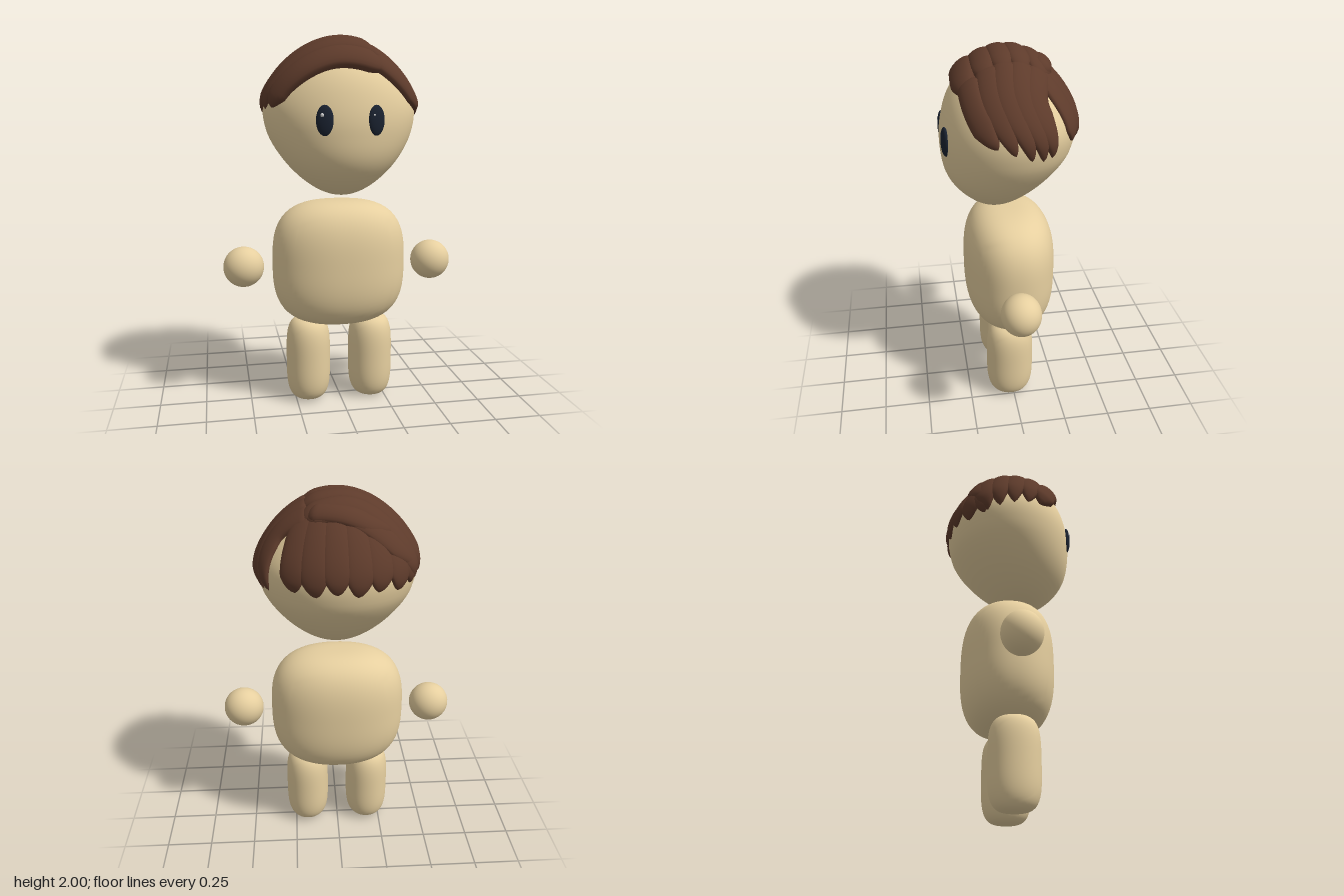
import * as THREE from 'three';
import { mergeVertices } from 'three/addons/utils/BufferGeometryUtils.js';

const V = (x, y, z) => new THREE.Vector3(x, y, z);
const skin = new THREE.MeshStandardMaterial({ color: 0xe6cf9f });
const brown = new THREE.MeshStandardMaterial({ color: 0x5e3b2b });
const navy = new THREE.MeshStandardMaterial({ color: 0x1a2230 });
const white = new THREE.MeshStandardMaterial({ color: 0xffffff });

// Head shape: half width, half depth and forward shift, from chin to crown
const headProfile = new THREE.CatmullRomCurve3([
  V(0.305, 0.265, 0.08), V(0.352, 0.32, 0.055), V(0.392, 0.342, 0.016),
  V(0.412, 0.347, 0.002), V(0.39, 0.338, 0.012), V(0.36, 0.315, 0.012),
]);
function headPoint(d) {
  const s = headProfile.getPoint(THREE.MathUtils.clamp((d.y + 1) / 2, 0, 1));
  return V(s.x * d.x, 1.56 + 0.4 * d.y, s.z + s.y * d.z);
}
// Direction from the head centre towards a place on the scalp
const dir = (x, y, z) => V(x / 0.4, (y - 1.56) / 0.4, z / 0.33).normalize();
const top = (x, z) => {
  const a = x / 0.4, b = z / 0.33;
  return V(a, Math.sqrt(Math.max(0.02, 1 - a * a - b * b)), b).normalize();
};

// Moves every vertex by a rule and smooths the result
function reshape(geometry, rule) {
  geometry.deleteAttribute('uv');
  geometry.deleteAttribute('normal');
  const g = mergeVertices(geometry, 1e-5);
  const p = g.attributes.position, v = V(0, 0, 0);
  for (let i = 0; i < p.count; i++) {
    const q = rule(v.fromBufferAttribute(p, i));
    p.setXYZ(i, q.x, q.y, q.z);
  }
  g.computeVertexNormals();
  return g;
}

// Rounded block: n squares the upright outline, m the level cross-section
function softBlock(hx, hy, hz, n, m) {
  return reshape(new THREE.BoxGeometry(2, 2, 2, 20, 20, 20), (v) => {
    v.set(Math.tan(v.x * Math.PI / 4), Math.tan(v.y * Math.PI / 4), Math.tan(v.z * Math.PI / 4));
    const level = (Math.abs(v.x) ** m + Math.abs(v.z) ** m) ** (1 / m);
    const r = (level ** n + Math.abs(v.y) ** n) ** (1 / n);
    return v.divideScalar(r).multiply(V(hx, hy, hz));
  });
}

// Lock of hair: a rounded ribbon that follows the scalp and tapers to its tip
function lock(dirs, width, thick, taper = 0.3) {
  const path = new THREE.CatmullRomCurve3(dirs);
  const rows = 36, sides = 20, pos = [], idx = [];
  for (let i = 0; i <= rows; i++) {
    const u = i / rows;
    const d = path.getPoint(u).normalize();
    const b = d.clone().cross(path.getTangent(u)).normalize();
    const start = Math.sqrt(Math.min(1, u / 0.1));
    const end = Math.min(1, (1 - u) / taper) ** 0.65;
    const w = Math.max(0.01, start * end) * width / 0.38;
    const t = Math.max(0.02, start * Math.min(1, (1 - u) / 0.12) ** 0.5) * thick * (1 - 0.3 * u);
    for (let j = 0; j < sides; j++) {
      const a = j / sides * Math.PI * 2, s = Math.sin(a);
      const e = d.clone().addScaledVector(b, w * Math.cos(a)).normalize();
      const lift = s > 0 ? s ** 0.6 : 0.4 * s;
      const q = headPoint(e).addScaledVector(e, t * lift);
      pos.push(q.x, q.y, q.z);
      if (i < rows) {
        const k = (j + 1) % sides, r = i * sides, r2 = r + sides;
        idx.push(r + j, r + k, r2 + j, r + k, r2 + k, r2 + j);
      }
    }
  }
  const g = new THREE.BufferGeometry();
  g.setAttribute('position', new THREE.Float32BufferAttribute(pos, 3));
  g.setIndex(idx);
  g.computeVertexNormals();
  return g;
}

export function createModel() {
  const model = new THREE.Group();
  const add = (name, geometry, material, x = 0, y = 0, z = 0, parent = model) => {
    const m = new THREE.Mesh(geometry, material);
    m.name = name;
    m.position.set(x, y, z);
    parent.add(m);
    return m;
  };

  // Body
  add('torso', softBlock(0.368, 0.347, 0.248, 3, 2.2), skin, 0, 0.778, -0.002);
  for (const [side, s] of [['left', 1], ['right', -1]]) {
    add(side + 'Leg', softBlock(0.122, 0.235, 0.132, 3.8, 2.05), skin, s * 0.177, 0.235, 0.016);
    add(side + 'Hand', new THREE.SphereGeometry(1, 40, 28), skin, s * 0.527, 0.768, 0.012)
      .scale.set(0.11, 0.11, 0.104);
  }

  // Head
  add('head', reshape(new THREE.SphereGeometry(1, 64, 48), headPoint), skin);

  // Eyes with a small glint
  for (const [side, s] of [['left', 1], ['right', -1]]) {
    const eye = add(side + 'Eye', new THREE.SphereGeometry(1, 32, 24), navy, s * 0.13, 1.56, 0.331);
    eye.scale.set(0.044, 0.076, 0.019);
    eye.rotation.y = s * 0.24;
    add(side + 'Glint', new THREE.SphereGeometry(0.01, 16, 12), white, s * 0.13 - 0.014, 1.586, 0.342);
  }

  // Hair: a scalp cap covered by locks
  const hair = new THREE.Group();
  hair.name = 'hair';
  model.add(hair);
  const cap = new THREE.SphereGeometry(1, 48, 16, 0, Math.PI * 2, 0, 0.68);
  cap.rotateX(-0.1);
  add('hairCap', reshape(cap, (d) => headPoint(d).addScaledVector(d, 0.018)), brown, 0, 0, 0, hair);

  // Locks combed to both sides from the parting; the front one is the fringe
  const shortTips = [[1.61, 0.1], [1.575, 0.015], [1.54, -0.065], [1.525, -0.13], [1.53, -0.19]];
  shortTips.forEach(([tipY, tipZ], k) => {
    const z = 0.195 - 0.083 * k, zt = 0.14 - 0.075 * k;
    const wide = k === 0 ? 0.074 : 0.068, thick = k === 0 ? 0.05 : 0.042;
    add('longSideLock', lock([top(0.2, z), top(-0.08, z + 0.01), top(-0.29, (z + zt) / 2),
      dir(-0.4, 1.63 - 0.015 * k, zt)], wide, thick, 0.18), brown, 0, 0, 0, hair);
    add('shortSideLock', lock([top(0.13, z - 0.005), top(0.3, z * 0.8 + 0.01),
      dir(0.4, tipY, tipZ)], 0.066, thick - 0.01, 0.35), brown, 0, 0, 0, hair);
  });

  // Locks falling down the back, leaving a gap behind the left side
  for (let i = 0; i < 6; i++) {
    const x = -0.28 + 0.099 * i;
    const tip = dir(x, 1.55 + 0.015 * (i % 2), -0.33 * Math.sqrt(1 - (x / 0.4) ** 2));
    add('backLock', lock([top(x * 0.75, -0.13), tip], 0.066, 0.027, 0.2), brown, 0, 0, 0, hair);
  }
  add('backCornerLock', lock([top(-0.2, -0.16), dir(-0.35, 1.56, -0.16)], 0.06, 0.027),
    brown, 0, 0, 0, hair);

  // Swept crown locks
  add('crownLock', lock([top(0.18, -0.13), top(-0.06, -0.18), top(-0.25, -0.19),
    dir(-0.37, 1.62, -0.13)], 0.07, 0.042), brown, 0, 0, 0, hair);
  add('crownLock', lock([top(0.16, -0.14), top(0, -0.18), top(-0.14, -0.19), top(-0.27, -0.15)],
    0.055, 0.05), brown, 0, 0, 0, hair);

  return model;
}
